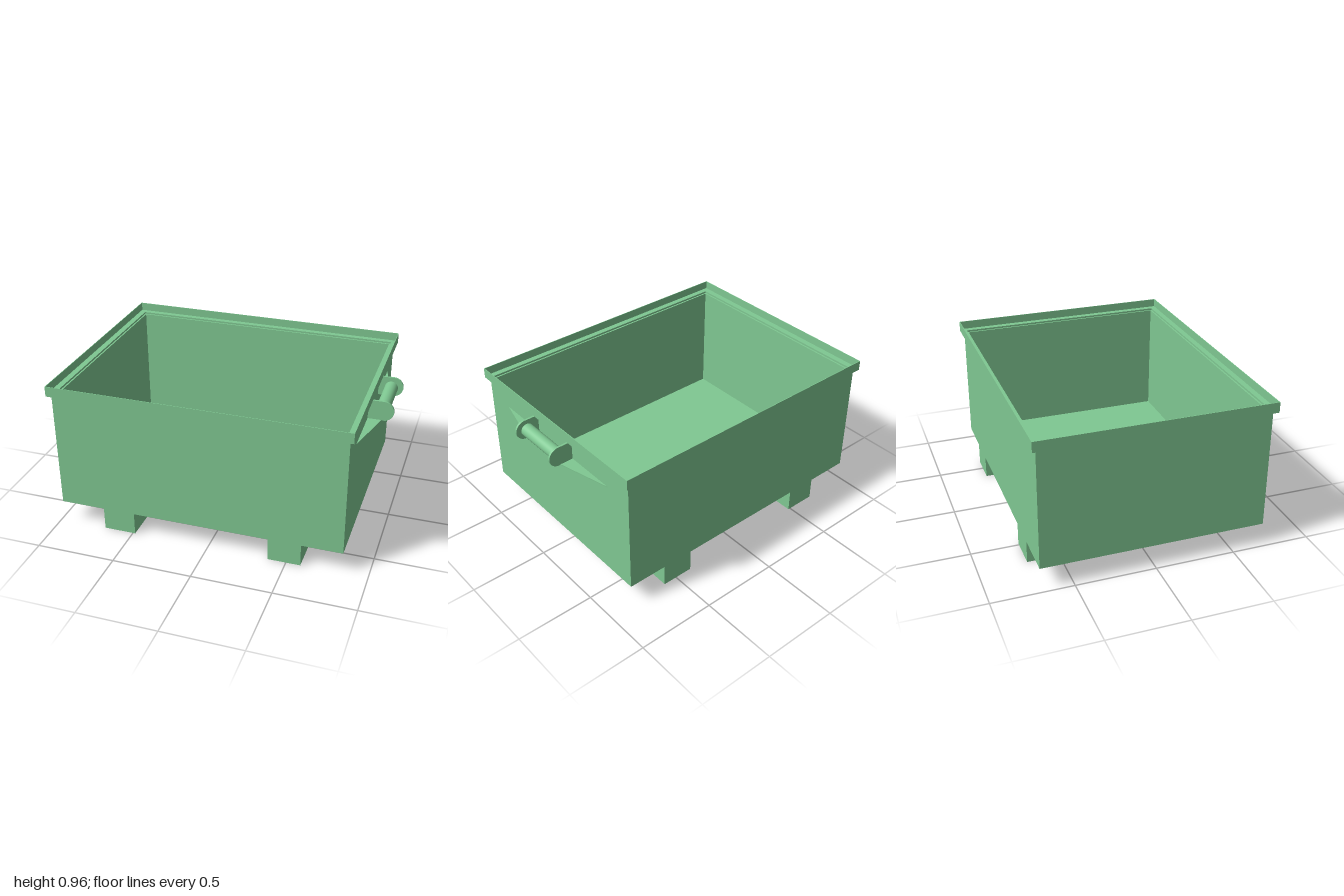
import * as THREE from 'three';

const material = new THREE.MeshStandardMaterial({ color: 0x7fc892 });
const CX = -0.065; // tub centre; the handle sticks out on +x

function part(name, geometry, x = 0, y = 0, z = 0) {
  const mesh = new THREE.Mesh(geometry, material);
  mesh.name = name;
  mesh.position.set(x, y, z);
  return mesh;
}

function rectPoints(hx, hz) {
  return [[-hx, -hz], [hx, -hz], [hx, hz], [-hx, hz]].map(([x, z]) => new THREE.Vector2(x, z));
}

// Rectangular frame from y0 to y1, given outer and inner half sizes
function frame(name, outer, inner, y0, y1) {
  const shape = new THREE.Shape(rectPoints(...outer));
  shape.holes.push(new THREE.Path(rectPoints(...inner).reverse()));
  const geometry = new THREE.ExtrudeGeometry(shape, { depth: y1 - y0, bevelEnabled: false });
  geometry.rotateX(-Math.PI / 2);
  return part(name, geometry, CX, y0);
}

// Side plate with a rounded outer end, standing in the xy plane
function endPlate() {
  const r = 0.0625, x0 = 0.845, x1 = 1 - r, y = 0.8375;
  const shape = new THREE.Shape();
  shape.moveTo(x0, y - r);
  shape.lineTo(x1, y - r);
  shape.absarc(x1, y, r, -Math.PI / 2, Math.PI / 2, false);
  shape.lineTo(x0, y + r);
  shape.closePath();
  return new THREE.ExtrudeGeometry(shape, { depth: 0.013, bevelEnabled: false, curveSegments: 20 });
}

// Thin horizontal triangular brace beside an end plate
function brace(side) {
  const shape = new THREE.Shape([
    new THREE.Vector2(0.845, -side * 0.17),
    new THREE.Vector2(0.93, -side * 0.17),
    new THREE.Vector2(0.845, -side * 0.51),
  ]);
  const geometry = new THREE.ExtrudeGeometry(shape, { depth: 0.006, bevelEnabled: false });
  return geometry.rotateX(-Math.PI / 2);
}

export function createModel() {
  const model = new THREE.Group();
  model.name = 'openBin';

  // Tub walls and floor
  model.add(frame('walls', [0.91, 0.7], [0.8825, 0.675], 0.145, 0.9));
  model.add(part('floor', new THREE.BoxGeometry(1.765, 0.02, 1.35), CX, 0.155, 0));

  // Rim: flat ledge with a thin upright lip around it
  model.add(frame('rimLedge', [0.931, 0.721], [0.8925, 0.685], 0.9, 0.912));
  model.add(frame('rimLip', [0.935, 0.725], [0.931, 0.721], 0.9, 0.965));

  // Four feet, flush with the front and back walls
  for (const x of [-0.5875, 0.4875]) {
    model.add(part('frontFoot', new THREE.BoxGeometry(0.205, 0.145, 0.22), x, 0.0725, 0.59));
    model.add(part('backFoot', new THREE.BoxGeometry(0.205, 0.145, 0.195), x, 0.0725, -0.6025));
  }

  // Handle: round bar between two plates, each with a brace
  const handle = new THREE.Group();
  handle.name = 'handle';
  const bar = new THREE.CylinderGeometry(0.041, 0.041, 0.334, 32).rotateX(Math.PI / 2);
  handle.add(part('handleBar', bar, 0.926, 0.832, 0));
  for (const side of [1, -1]) {
    handle.add(part('handlePlate', endPlate(), 0, 0, side > 0 ? 0.165 : -0.178));
    handle.add(part('handleBrace', brace(side), 0, 0.772, 0));
  }
  model.add(handle);
  return model;
}
